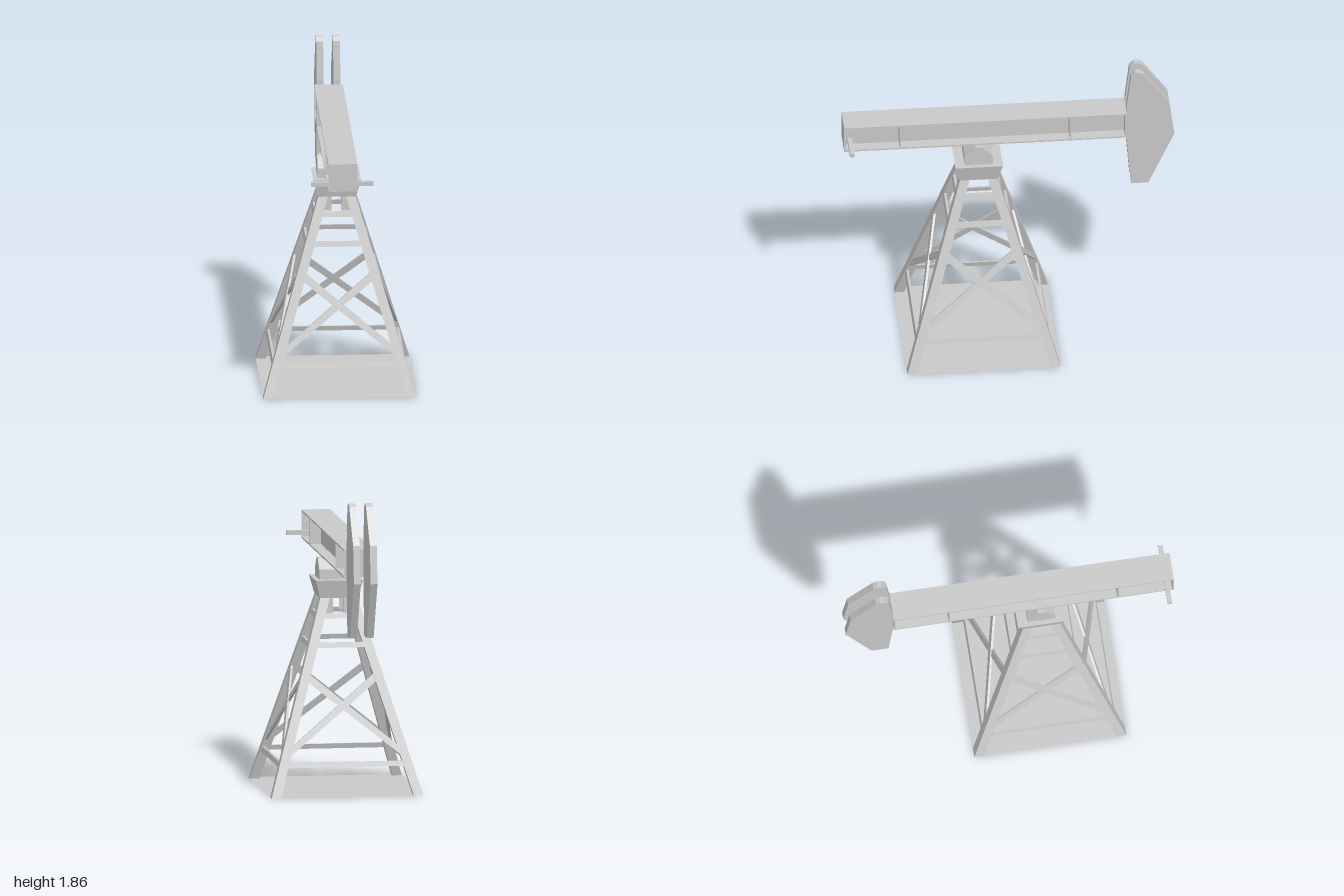
import * as THREE from 'three';

const steel = new THREE.MeshStandardMaterial({ color: 0xc8c8c8, side: THREE.DoubleSide });
steel.name = 'steelGrey';

const TOWER_Z = 0.188, SLOPE = 0.3, LEG_TOP = 1.17, LEG_W = 0.058;
const outer = (y) => 0.463 - SLOPE * y;   // half width of the tower at height y
const inner = (y) => outer(y) - LEG_W;

function add(parent, name, geometry, x = 0, y = 0, z = 0) {
  const mesh = new THREE.Mesh(geometry, steel);
  mesh.name = name;
  mesh.position.set(x, y, z);
  parent.add(mesh);
  return mesh;
}

function box(parent, name, w, h, d, x, y, z) {
  return add(parent, name, new THREE.BoxGeometry(w, h, d), x, y, z);
}

// Moves every vertex by a rule and refreshes the flat normals
function reshape(geometry, rule) {
  const p = geometry.attributes.position, v = new THREE.Vector3();
  for (let i = 0; i < p.count; i++) {
    rule(v.fromBufferAttribute(p, i));
    p.setXYZ(i, v.x, v.y, v.z);
  }
  geometry.computeVertexNormals();
  return geometry;
}

function extrude(points, depth) {
  const shape = new THREE.Shape(points.map(([a, b]) => new THREE.Vector2(a, b)));
  return new THREE.ExtrudeGeometry(shape, { depth, bevelEnabled: false });
}

// Flat bar lying in one sloping side of the tower
function sideBar(parent, name, points, inset) {
  const geometry = extrude(points, 0.014);
  add(parent, name, reshape(geometry, (v) => { v.z += outer(v.y) - 0.014 - inset; }));
}

function buildTower() {
  const tower = new THREE.Group();
  tower.name = 'tower';
  tower.position.z = TOWER_Z;

  const base = add(tower, 'basePlate', new THREE.PlaneGeometry(0.926, 0.926));
  base.rotation.x = -Math.PI / 2;

  // Four leaning legs with level ends
  for (const sx of [-1, 1]) for (const sz of [-1, 1]) {
    const g = new THREE.BoxGeometry(LEG_W, LEG_TOP, LEG_W).translate(0, LEG_TOP / 2, 0);
    add(tower, 'leg', reshape(g, (v) => {
      const c = outer(v.y) - LEG_W / 2;
      v.x += sx * c;
      v.z += sz * c;
    }));
    // Small gusset inside each leg top
    const gusset = extrude([[0.03, 1.07], [0.085, 1.07], [0.055, LEG_TOP], [0.03, LEG_TOP]], 0.012);
    const mesh = add(tower, 'gusset', gusset, 0, 0, sz * 0.085);
    if (sx < 0) mesh.rotation.y = Math.PI;
  }

  // Rungs and cross braces on each side
  for (let i = 0; i < 4; i++) {
    const side = new THREE.Group();
    side.name = 'towerSide';
    side.rotation.y = i * Math.PI / 2;
    tower.add(side);
    for (const [y0, y1] of [[0.175, 0.205], [0.873, 0.903], [1.045, 1.075]]) {
      sideBar(side, 'rung', [[-inner(y0), y0], [inner(y0), y0], [inner(y1), y1], [-inner(y1), y1]], 0.004);
    }
    for (const s of [-1, 1]) {
      sideBar(side, 'crossBrace', [
        [-s * inner(0.67), 0.67], [s * inner(0.245), 0.245],
        [s * inner(0.305), 0.305], [-s * inner(0.715), 0.715],
      ], s > 0 ? 0.002 : 0.008);
    }
  }

  // Cap flaring upwards
  const cap = new THREE.BoxGeometry(1, 0.11, 1);
  add(tower, 'cap', reshape(cap, (v) => {
    const w = v.y > 0 ? 0.288 : 0.23;
    v.x *= w;
    v.z *= w;
  }), 0, 1.22, 0);

  // Bearing block with a sloping top
  box(tower, 'bearingBase', 0.23, 0.06, 0.17, 0, 1.305, 0);
  const saddle = extrude([[-0.085, 1.335], [0.085, 1.335], [0.03, 1.39], [0.018, 1.4], [-0.018, 1.4], [-0.03, 1.39]], 0.23);
  saddle.translate(0, 0, -0.115).rotateY(Math.PI / 2);
  add(tower, 'bearingSaddle', saddle);
  return tower;
}

function buildBeam() {
  const beam = new THREE.Group();
  beam.name = 'walkingBeam';
  const front = 1, back = -0.71, width = 0.175, t = 0.01;
  const length = front - back, mid = (front + back) / 2;

  // I-section: two flanges and a web
  box(beam, 'topFlange', width, t, length, 0, 1.572 - t / 2, mid);
  box(beam, 'bottomFlange', width, t, length, 0, 1.4 + t / 2, mid);
  box(beam, 'web', 0.04, 0.16, length - t, 0, 1.486, mid);
  for (const z of [front - t / 2, 0.66, -0.37, back + t / 2]) {
    box(beam, 'stiffener', width, 0.155, t, 0, 1.486, z);
  }
  box(beam, 'crossRod', 0.372, 0.027, 0.027, 0, 1.439, 0.96);
  return beam;
}

function buildHead() {
  const head = new THREE.Group();
  head.name = 'head';
  // Profile as (distance behind centre, height)
  const profile = [
    [0.71, 1.4], [0.738, 1.05], [0.842, 1.05], [1, 1.4], [0.97, 1.63],
    [0.815, 1.845], [0.79, 1.86], [0.765, 1.86], [0.738, 1.835], [0.71, 1.6],
  ];
  for (const s of [-1, 1]) {
    const g = extrude(profile, 0.042).translate(0, 0, -0.021).rotateY(Math.PI / 2);
    add(head, 'headPlate', g, s * 0.051, 0, 0);
  }
  return head;
}

export function createModel() {
  const model = new THREE.Group();
  model.name = 'pumpJack';
  model.add(buildTower(), buildBeam(), buildHead());
  return model;
}
